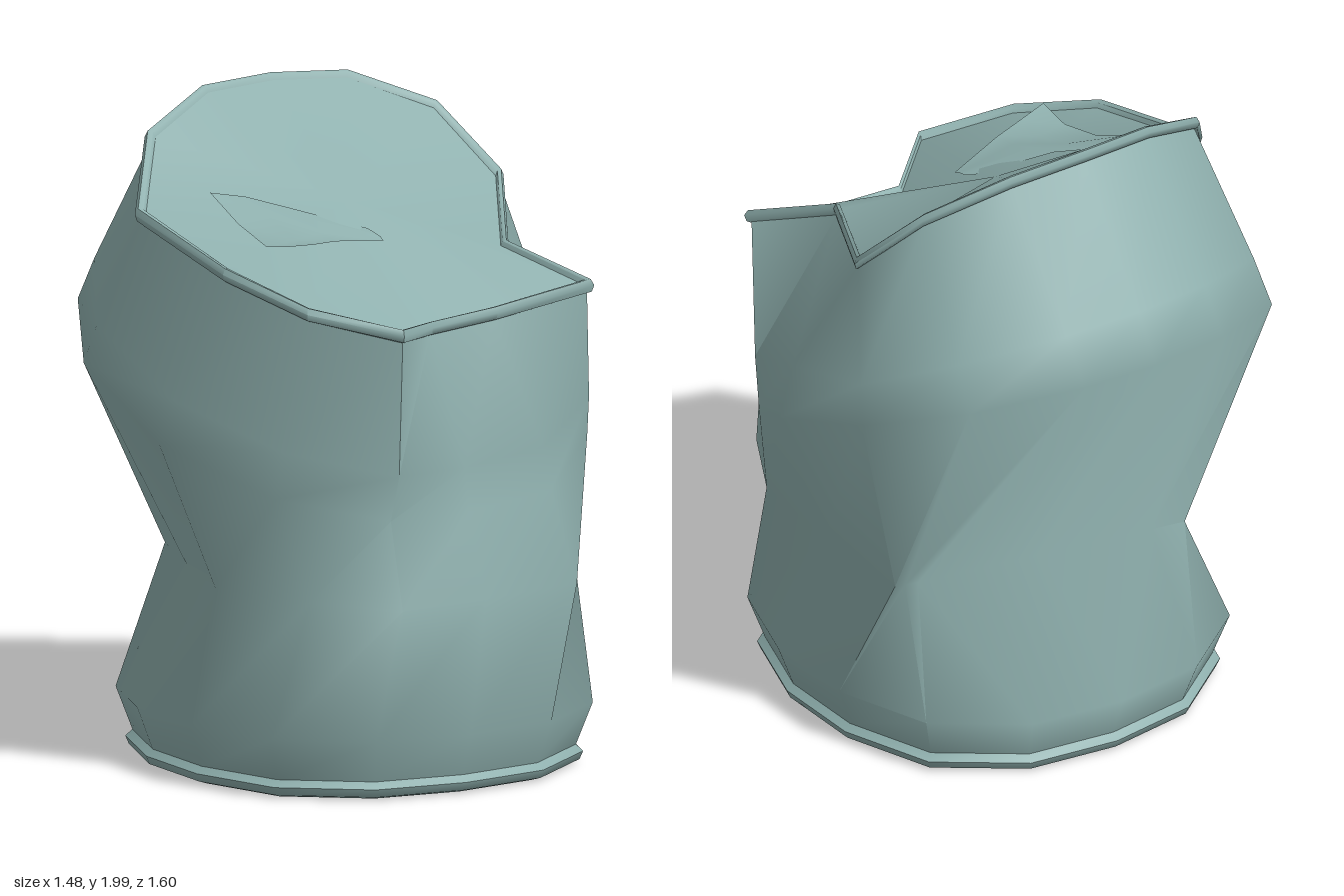
import * as THREE from 'three';
import { toCreasedNormals } from 'three/addons/utils/BufferGeometryUtils.js';

const N = 14; // sides of the can; points run from the back round by +x to the front
const material = new THREE.MeshStandardMaterial({ color: 0x8fb0ae, side: THREE.DoubleSide });

// Skin a list of cross-sections, each a list of [x, y, z]
function loft(name, rings, closed = true, crease = 1) {
  const n = rings[0].length, index = [];
  for (let r = 0; r < rings.length - 1; r++) {
    for (let i = 0; i < (closed ? n : n - 1); i++) {
      const j = (i + 1) % n;
      const a = r * n + i, b = r * n + j, c = a + n, d = b + n;
      index.push(a, c, b, b, c, d);
    }
  }
  const geometry = new THREE.BufferGeometry();
  geometry.setAttribute('position', new THREE.Float32BufferAttribute(rings.flat(2), 3));
  geometry.setIndex(index);
  const mesh = new THREE.Mesh(toCreasedNormals(geometry, crease), material);
  mesh.name = name;
  return mesh;
}

// Slightly squared ring, a little longer from front to back
const ring = (radius, y) => Array.from({ length: N }, (_, i) => {
  const a = (i / N) * Math.PI * 2;
  const r = radius * (1 + 0.07 * Math.sin(2 * a) ** 2);
  return [r * Math.sin(a), y, 0.065 - r * 1.04 * Math.cos(a)];
});

// Ring scaled about the lid centre and shifted in height
const inset = (points, s, dy) => points.map(([x, y, z]) => [x * s, y + dy, 0.05 + (z - 0.05) * s]);

// Bent outline of the lid, notched at the front
const lidOutline = [
  [0, 1.985, -0.44], [0.26, 1.97, -0.42], [0.51, 1.87, -0.31], [0.63, 1.68, -0.13],
  [0.38, 1.57, 0.33], [0.53, 1.48, 0.58], [0.22, 1.42, 0.54], [-0.01, 1.4, 0.55],
  [-0.22, 1.43, 0.74], [-0.48, 1.5, 0.61], [-0.62, 1.59, 0.35], [-0.645, 1.69, -0.13],
  [-0.5, 1.88, -0.32], [-0.25, 1.975, -0.42],
];

// Tilted shoulder crease, high at the back and low at the front
const shoulder = [
  [0, -0.8], [0.24, -0.77], [0.55, -0.61], [0.73, -0.31], [0.735, 0.11], [0.64, 0.35], [0.37, 0.6],
  [0.05, 0.66], [-0.22, 0.66], [-0.52, 0.49], [-0.73, 0.16], [-0.74, -0.27], [-0.58, -0.58], [-0.28, -0.75],
].map(([x, z]) => [x, 1.11 - 0.4 * z, z]);

// Crushed waist, folded flat across the back between two sharp corners
const waist = [
  [0.1, -0.35], [0.5, -0.275], [0.54, -0.265], [0.57, -0.255], [0.57, 0.1], [0.54, 0.45], [0.4, 0.7],
  [0.05, 0.76], [-0.26, 0.8], [-0.43, 0.54], [-0.57, 0.22], [-0.47, -0.12], [-0.36, -0.44], [-0.25, -0.42],
].map(([x, z]) => [x, 0.6, z]);

// Slight bulge of the upper wall just over the crease
const bulge = shoulder.map(([x, y, z], i) => {
  const [u, v, w] = lidOutline[i];
  const t = 0.25, push = i >= 6 && i <= 8 ? 0.03 : 0;
  return [x + (u - x) * t, y + (v - y) * t, z + (w - z) * t + push];
});

export function createModel() {
  const group = new THREE.Group();

  // Crushed wall
  group.add(loft('canBody', [
    ring(0.62, 0.06), ring(0.667, 0.19), waist, shoulder, bulge, inset(lidOutline, 0.97, -0.02),
  ], true, 1.15));

  // Bottom rim and hollow base
  group.add(loft('base', [
    ring(0, 0.1), ring(0.3, 0.085), ring(0.5, 0.05), ring(0.6, 0.005),
    ring(0.63, 0.015), ring(0.64, 0.04), ring(0.615, 0.065),
  ]));

  // Rolled rim around the lid
  group.add(loft('topRim', [
    inset(lidOutline, 0.965, -0.03), inset(lidOutline, 0.99, -0.025), inset(lidOutline, 1, -0.005),
    inset(lidOutline, 0.985, 0.013), inset(lidOutline, 0.96, 0.01), inset(lidOutline, 0.945, -0.01),
  ]));

  // Dented lid panel
  group.add(loft('lid', [
    inset(lidOutline, 0.955, -0.005),
    lidOutline.map(() => [0, 1.69, 0.03]),
  ]));

  // Torn, curled flap on the lid
  group.add(loft('tornFlap', [
    [[-0.41, 1.65, 0.36], [-0.41, 1.63, 0.25], [-0.41, 1.67, 0.08], [-0.42, 1.74, -0.07]],
    [[-0.3, 1.64, 0.33], [-0.3, 1.635, 0.23], [-0.3, 1.68, 0.08], [-0.31, 1.72, -0.05]],
    [[-0.2, 1.635, 0.3], [-0.2, 1.645, 0.22], [-0.2, 1.675, 0.13], [-0.22, 1.695, 0.04]],
    [[0, 1.605, 0.24], [0, 1.615, 0.22], [0, 1.62, 0.19], [-0.01, 1.63, 0.16]],
  ], false));

  return group;
}
